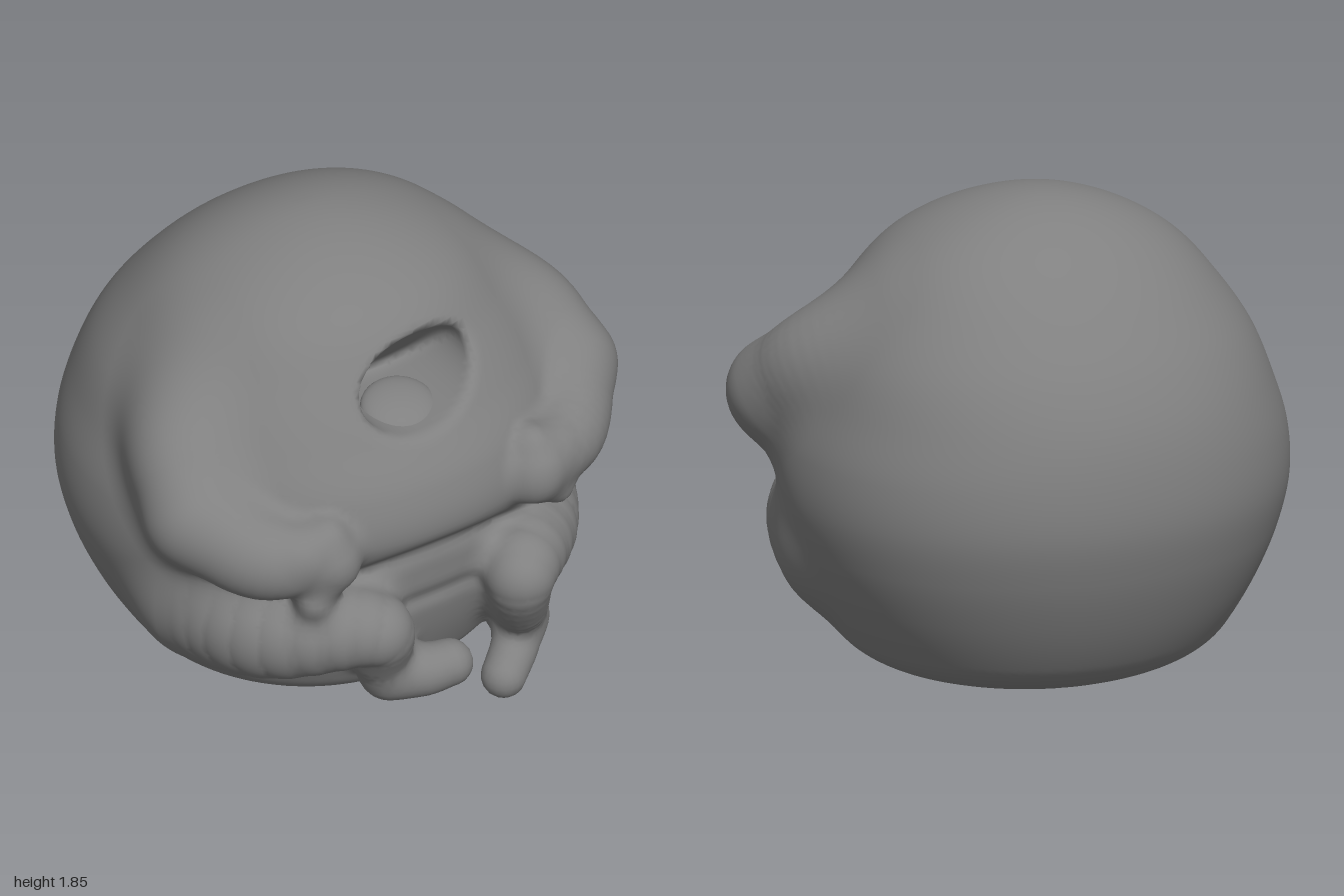
import * as THREE from 'three';

const material = new THREE.MeshStandardMaterial({ color: 0x808080 });
const { smoothstep, clamp } = THREE.MathUtils;

// Limbs: blend softness, then x, y, z, radius at each joint
const limbs = {
  leftUpperArm: { soft: .16, joints: [[.5, 1.36, .02, .2], [.75, 1.24, .2, .2], [.81, 1.09, .39, .19]] },
  leftForearm: { soft: .06, joints: [[.81, 1.09, .39, .19], [.65, 1.0, .63, .165], [.44, 1.01, .75, .14]] },
  leftThumb: { soft: .05, joints: [[.52, 1.05, .74, .08], [.43, 1.12, .76, .06]] },
  leftFingers: { soft: .06, joints: [[.42, .96, .78, .08], [.54, .86, .76, .06]] },
  rightUpperArm: { soft: .16, joints: [[-.5, 1.36, .02, .2], [-.75, 1.22, .2, .2], [-.81, 1.05, .39, .19]] },
  rightForearm: { soft: .06, joints: [[-.81, 1.05, .39, .19], [-.67, .96, .62, .175], [-.47, .95, .74, .13]] },
  rightThumb: { soft: .06, joints: [[-.58, 1.0, .74, .08], [-.48, 1.05, .76, .06]] },
  rightFingers: { soft: .06, joints: [[-.46, .9, .76, .09], [-.54, .78, .77, .06]] },
  leftLeg: { soft: .1, joints: [[.64, .53, .2, .27], [.55, .55, .53, .2], [.34, .58, .82, .135], [.38, .4, .75, .115], [.45, .25, .67, .09]] },
  leftFoot: { soft: .06, joints: [[.46, .24, .64, .09], [.4, .16, .7, .09], [.3, .09, .77, .085]] },
  rightLeg: { soft: .1, joints: [[-.64, .53, .2, .27], [-.57, .55, .55, .21], [-.3, .58, .82, .14], [-.25, .44, .77, .125], [-.2, .32, .75, .11]] },
  rightFoot: { soft: .06, joints: [[-.19, .31, .76, .1], [-.1, .31, .82, .1], [0, .33, .86, .09]] },
};

// Smooth each limb into a chain of tapered segments
for (const limb of Object.values(limbs)) {
  const path = new THREE.CatmullRomCurve3(limb.joints.map(j => new THREE.Vector3(j[0], j[1], j[2])));
  const radius = new THREE.SplineCurve(limb.joints.map((j, i) => new THREE.Vector2(i, j[3])));
  const points = path.getPoints(18);
  limb.chain = points.map((p, i) => [p.x, p.y, p.z, radius.getPoint(i / 18).y]);
  limb.bound = new THREE.Box3().setFromPoints(points).expandByScalar(.3).getBoundingSphere(new THREE.Sphere());
}

function limbDistance({ chain, bound }, x, y, z) {
  const far = Math.hypot(x - bound.center.x, y - bound.center.y, z - bound.center.z) - bound.radius;
  if (far > .2) return far;
  let best = 9;
  for (let i = 1; i < chain.length; i++) {
    const a = chain[i - 1], b = chain[i];
    const dx = b[0] - a[0], dy = b[1] - a[1], dz = b[2] - a[2];
    const px = x - a[0], py = y - a[1], pz = z - a[2];
    const t = clamp((px * dx + py * dy + pz * dz) / (dx * dx + dy * dy + dz * dz), 0, 1);
    const d = Math.sqrt((px - t * dx) ** 2 + (py - t * dy) ** 2 + (pz - t * dz) ** 2);
    best = Math.min(best, d - a[3] - t * (b[3] - a[3]));
  }
  return best;
}

function softMin(a, b, k) {
  const h = Math.max(k - Math.abs(a - b), 0) / k;
  return Math.min(a, b) - h * h * k / 4;
}
const softMax = (a, b, k) => -softMin(-a, -b, k);

// Torso cross-sections at equal heights from base to crown
const BASE = .03, CROWN = 1.86, AXIS_Z = -.06;
const halfWidth = [.61, .745, .85, .925, .965, .955, .9, .83, .71, .54, 0];
const frontDepth = [.6, .7, .77, .81, .83, .91, .88, .77, .65, .51, 0];
const backDepth = [.55, .7, .8, .87, .91, .905, .865, .78, .645, .46, 0];

// Interpolate squared sizes so the crown comes out round
function section(list, t) {
  const f = t * (list.length - 1), i = Math.min(Math.floor(f), list.length - 2), u = f - i;
  const q = k => list[clamp(k, 0, list.length - 1)] ** 2;
  const a = q(i), b = q(i + 1);
  const m = i === 0 ? b - a : (b - q(i - 1)) / 2;
  const n = i === list.length - 2 ? b - a : (q(i + 2) - a) / 2;
  const s = a + m * u + (3 * (b - a) - 2 * m - n) * u * u + (2 * (a - b) + m + n) * u * u * u;
  return Math.sqrt(Math.max(s, 1e-6));
}

function torsoField(x, y, zWorld) {
  const t = clamp((y - BASE) / (CROWN - BASE), 0, 1), z = zWorld - AXIS_Z;
  const w = section(halfWidth, t), d = section(z > 0 ? frontDepth : backDepth, t);
  const rhoSquared = (Math.abs(x / w) ** 2.1 + Math.abs(z / d) ** 2.1) ** (2 / 2.1);
  let field = (rhoSquared - 1) * w * w / 1.8 + Math.max(y - CROWN, 0);
  // Folds under the chin and across the belly
  const front = smoothstep(z, .3, .6);
  field += front * .045 * Math.exp(-(((y - .82 + .5 * x * x) / .055) ** 2));
  field += front * .02 * Math.exp(-(((y - .57) / .04) ** 2) - (x / .35) ** 2);
  // Slightly domed underside
  field = softMax(field, BASE - .01 + .2 * (x * x + z * z) - y, .08);
  // Mouth hollow with a roof sloping down to the back
  const rim = Math.hypot((x - .04) / .25, (y - 1.45 - .12 * (x - .04)) / .15);
  const roof = (.27 + .8 * (y - 1.33) - zWorld) * .78;
  return softMax(field, -softMax((rim - 1) * .16, roof, .06), .04);
}

// Whole skin: torso and limbs melted together
const limbList = Object.entries(limbs);
function skinField(x, y, z) {
  let value = torsoField(x, y, z);
  for (const [, limb] of limbList) value = softMin(value, limbDistance(limb, x, y, z), limb.soft);
  return value;
}

function gradient(x, y, z) {
  const e = .006;
  return new THREE.Vector3(
    skinField(x + e, y, z) - skinField(x - e, y, z),
    skinField(x, y + e, z) - skinField(x, y - e, z),
    skinField(x, y, z + e) - skinField(x, y, z - e)).divideScalar(2 * e);
}

// Part a point of the skin belongs to
function partAt(p) {
  let name = 'torso', best = torsoField(p.x, p.y, p.z);
  for (const [limbName, limb] of limbList) {
    const d = limbDistance(limb, p.x, p.y, p.z);
    if (d < best) { best = d; name = limbName; }
  }
  return name;
}

// Mesh the skin on a regular grid, one mesh per body part
function makeSkin() {
  const cell = .026, origin = [-1.08, -.06, -1.06], size = [84, 76, 82];
  const step = [1, size[0], size[0] * size[1]];
  const values = new Float32Array(size[0] * size[1] * size[2]);
  const coords = g => [g % size[0], Math.floor(g / step[1]) % size[1], Math.floor(g / step[2])];
  const place = g => coords(g).map((c, a) => origin[a] + c * cell);
  for (let g = 0; g < values.length; g++) values[g] = skinField(...place(g));

  // One point in each cell that the surface crosses
  const points = new Map();
  const offset = c => (c & 1) * step[0] + (c >> 1 & 1) * step[1] + (c >> 2) * step[2];
  for (let g = 0; g < values.length - offset(7); g++) {
    if (coords(g).some((c, a) => c === size[a] - 1)) continue;
    const p = new THREE.Vector3();
    let count = 0;
    for (let c = 0; c < 8; c++) for (let a = 0; a < 3; a++) {
      if (c >> a & 1) continue;
      const v0 = values[g + offset(c)], v1 = values[g + offset(c) + step[a]];
      if (v0 < 0 === v1 < 0) continue;
      const corner = [c & 1, c >> 1 & 1, c >> 2];
      corner[a] += v0 / (v0 - v1);
      p.add(new THREE.Vector3(...corner));
      count++;
    }
    if (!count) continue;
    p.multiplyScalar(cell / count).add(new THREE.Vector3(...place(g)));
    // Settle the point onto the surface
    const slope = gradient(p.x, p.y, p.z);
    const move = -skinField(p.x, p.y, p.z) / Math.max(slope.lengthSq(), .2);
    p.addScaledVector(slope, clamp(move, -.01, .01));
    points.set(g, { p, normal: gradient(p.x, p.y, p.z).normalize(), part: partAt(p) });
  }

  // Quads around each crossed grid edge
  const parts = {};
  for (let g = step[2] + step[1] + 1; g < values.length - step[2]; g++) for (let a = 0; a < 3; a++) {
    const inside = values[g] < 0;
    if (inside === values[g + step[a]] < 0) continue;
    const u = step[(a + 1) % 3], v = step[(a + 2) % 3];
    const quad = [g, g - u, g - u - v, g - v].map(k => points.get(k));
    if (!inside) quad.reverse();
    const part = parts[quad[0].part] ??= { position: [], normal: [] };
    for (const k of [0, 1, 2, 0, 2, 3]) {
      part.position.push(...quad[k].p.toArray());
      part.normal.push(...quad[k].normal.toArray());
    }
  }
  return Object.entries(parts).map(([name, { position, normal }]) => {
    const geometry = new THREE.BufferGeometry();
    geometry.setAttribute('position', new THREE.Float32BufferAttribute(position, 3));
    geometry.setAttribute('normal', new THREE.Float32BufferAttribute(normal, 3));
    const mesh = new THREE.Mesh(geometry, material);
    mesh.name = name;
    return mesh;
  });
}

export function createModel() {
  const model = new THREE.Group();
  model.name = 'roundCreature';
  model.add(...makeSkin());

  // Tongue lying on the mouth floor
  const tongue = new THREE.Mesh(new THREE.SphereGeometry(1, 32, 20), material);
  tongue.name = 'tongue';
  tongue.scale.set(.15, .055, .14);
  tongue.position.set(0, 1.3, .52);
  tongue.rotation.x = .3;
  model.add(tongue);
  return model;
}
